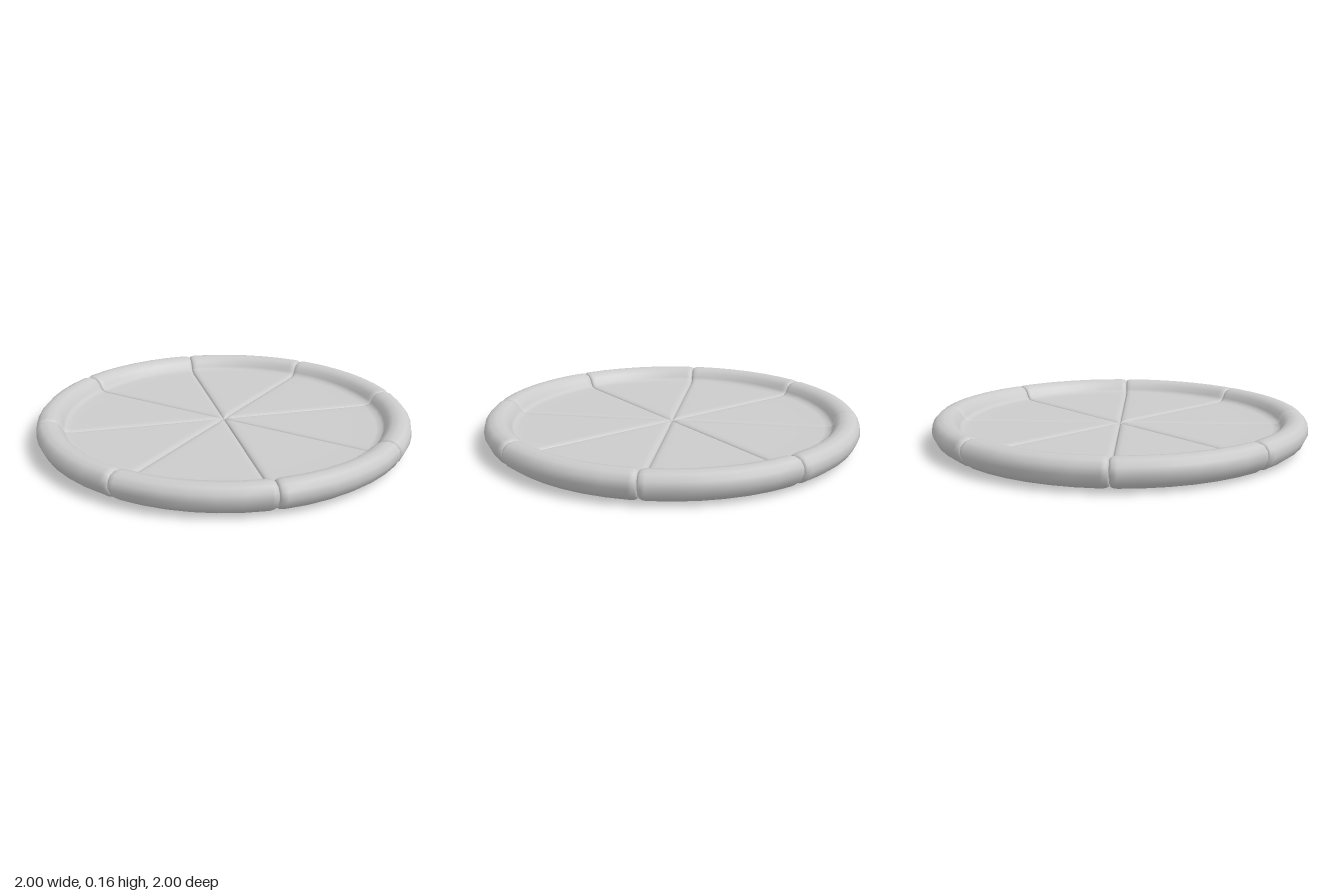
import * as THREE from 'three';

const SLICES = 8;
const HALF = Math.PI / SLICES;
const BEVEL = 0.035; // width of the rounding beside each cut
const DIP = 0.016; // depth of the rounding at the cut

// Radial section [radius, height]: underside, crust roll, then topping surface.
const profile = [
  [0.01, 0], [0.05, 0], [0.12, 0], [0.35, 0], [0.65, 0], [0.85, 0], [0.9, 0.003], [0.945, 0.015], [0.98, 0.042],
  [1, 0.085], [0.993, 0.122], [0.97, 0.147], [0.935, 0.155], [0.9, 0.148], [0.875, 0.128], [0.862, 0.102],
  [0.85, 0.086], [0.82, 0.08], [0.65, 0.08], [0.35, 0.08], [0.12, 0.08], [0.05, 0.08], [0.01, 0.08],
];
const N = profile.length;

// Outward direction of the section at point i.
function sectionNormal(i) {
  const a = profile[Math.max(i - 1, 0)];
  const b = profile[Math.min(i + 1, N - 1)];
  return new THREE.Vector2(b[1] - a[1], a[0] - b[0]).normalize();
}

// Section at one angular step: bevel 0..1 runs across the rounding, mid 0..1 on to the slice's centre line.
function section(side, bevel, mid) {
  return profile.map(([r, y], i) => {
    const edge = Math.min(BEVEL / r, HALF * 0.6);
    const fromCut = edge * bevel + (HALF - edge) * mid;
    const d = Math.min((fromCut * r) / BEVEL, 1);
    const inset = DIP * (1 - Math.sqrt(1 - (1 - d) ** 2));
    const n = sectionNormal(i);
    return { r: r - n.x * inset, y: y - n.y * inset, angle: side * (HALF - fromCut) };
  });
}

// Flat cut face: each point meets the one opposite it half way.
function capSection(points) {
  return points.map((p, i) => {
    const q = points[N - 1 - i];
    return { r: (p.r + q.r) / 2, y: (p.y + q.y) / 2, angle: p.angle };
  });
}

function sliceGeometry() {
  const steps = [[0, 0], [0.12, 0], [0.3, 0], [0.6, 0], [1, 0], [1, 0.33], [1, 0.67]];
  const half = (side) => steps.map(([bevel, mid]) => section(side, bevel, mid));
  const left = half(-1);
  const right = half(1).reverse();
  const columns = [
    capSection(left[0]), ...left, section(1, 1, 1), ...right, capSection(right[right.length - 1]),
  ];

  const positions = [];
  const indices = [];
  columns.forEach((column, j) => {
    column.forEach(({ r, y, angle }, i) => {
      positions.push(r * Math.cos(angle), y, r * Math.sin(angle));
      if (j === columns.length - 1) return;
      const next = (i + 1) % N;
      const a = j * N + i, b = j * N + next, c = a + N, d = b + N;
      indices.push(a, b, c, b, d, c);
    });
  });
  const geometry = new THREE.BufferGeometry();
  geometry.setAttribute('position', new THREE.Float32BufferAttribute(positions, 3));
  geometry.setIndex(indices);
  geometry.computeVertexNormals();
  return geometry;
}

export function createModel() {
  const group = new THREE.Group();
  group.name = 'pizza';
  const material = new THREE.MeshStandardMaterial({ color: 0xcccccc });
  const geometry = sliceGeometry();

  // Eight equal slices, cut along the axes and diagonals
  for (let k = 0; k < SLICES; k++) {
    const slice = new THREE.Mesh(geometry, material);
    slice.name = `slice${k + 1}`;
    slice.rotation.y = (k * 2 + 1) * HALF;
    group.add(slice);
  }
  return group;
}
